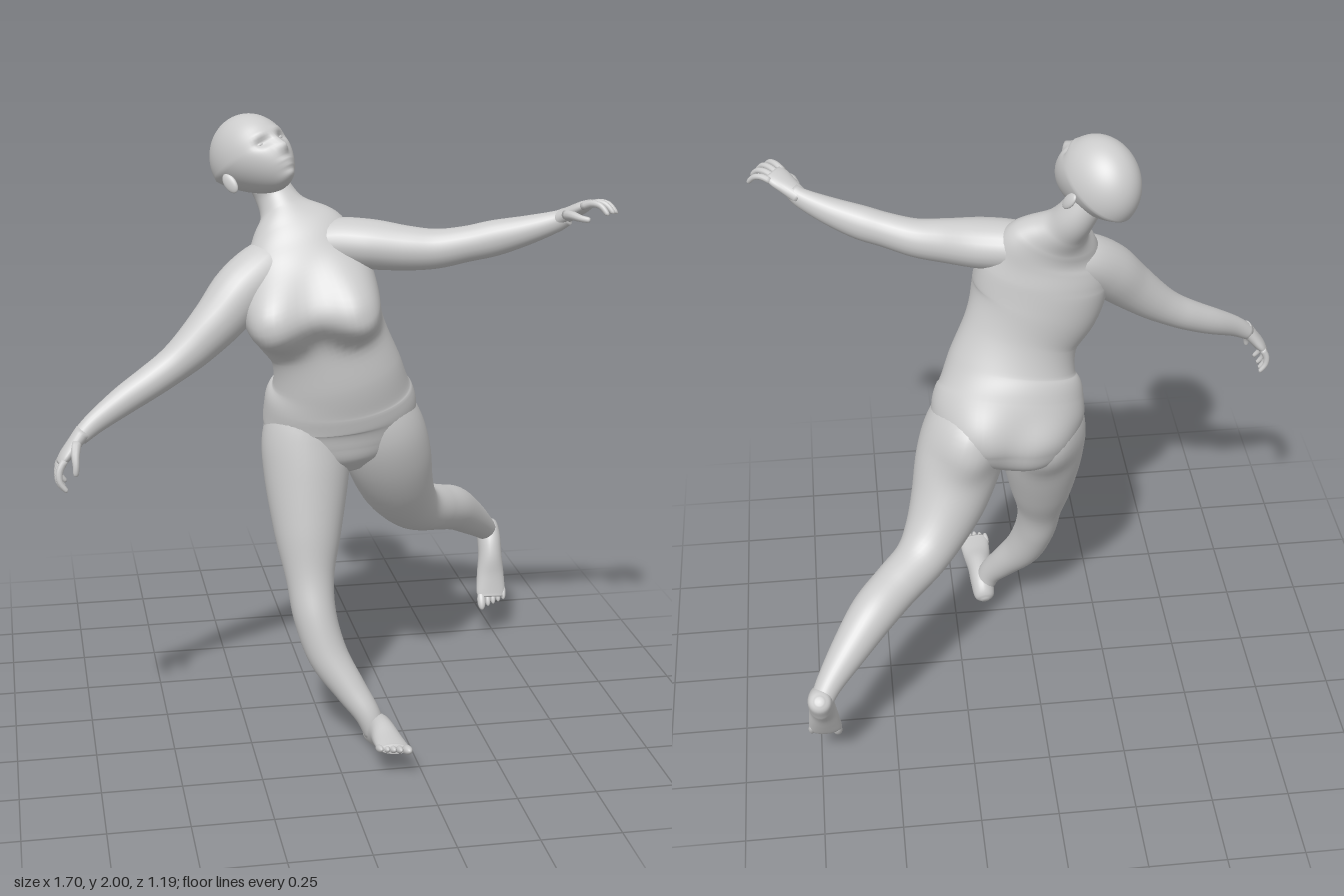
import * as THREE from 'three';
import { mergeVertices } from 'three/addons/utils/BufferGeometryUtils.js';

const skin = new THREE.MeshStandardMaterial({ color: 0xcccccc });
const V = (p) => new THREE.Vector3(...p);

function add(parent, name, geometry) {
  const mesh = new THREE.Mesh(geometry, skin);
  mesh.name = name;
  parent.add(mesh);
  return mesh;
}

// Smooth skin through elliptical sections [x, y, z, sideRadius, depthRadius]
function loft(sections, side = [1, 0, 0], around = 24, steps = 5) {
  const path = new THREE.CatmullRomCurve3(sections.map((s) => V(s.slice(0, 3))), false, 'catmullrom');
  const radii = new THREE.CatmullRomCurve3(sections.map((s) => V([s[3], s[4], 0])), false, 'catmullrom');
  const rings = (sections.length - 1) * steps;
  const pos = [], index = [];
  for (let i = 0; i <= rings; i++) {
    const t = i / rings, c = path.getPoint(t), r = radii.getPoint(t), T = path.getTangent(t);
    const S = V(side).addScaledVector(T, -T.dot(V(side))).normalize();
    const F = T.clone().cross(S);
    for (let j = 0; j < around; j++) {
      const a = (j / around) * Math.PI * 2;
      const p = c.clone().addScaledVector(S, r.x * Math.cos(a)).addScaledVector(F, r.y * Math.sin(a));
      pos.push(p.x, p.y, p.z);
    }
  }
  const at = (i, j) => i * around + (j % around);
  const first = pos.length / 3, last = first + 1;
  pos.push(...path.getPoint(0).toArray(), ...path.getPoint(1).toArray());
  for (let j = 0; j < around; j++) {
    for (let i = 0; i < rings; i++) {
      index.push(at(i, j), at(i, j + 1), at(i + 1, j + 1), at(i, j), at(i + 1, j + 1), at(i + 1, j));
    }
    index.push(first, at(0, j + 1), at(0, j), last, at(rings, j), at(rings, j + 1));
  }
  const g = new THREE.BufferGeometry();
  g.setAttribute('position', new THREE.Float32BufferAttribute(pos, 3));
  g.setIndex(index);
  g.computeVertexNormals();
  return g;
}

// Soft swellings of the body: [centre, push, radius]
const bulges = [
  [[-0.148, 1.43, 0.21], [-0.042, -0.038, 0.098], 0.108], // right breast
  [[0.07, 1.46, 0.21], [0.025, -0.038, 0.105], 0.108], // left breast
  [[-0.03, 0.97, -0.09], [0, 0, -0.035], 0.11], // right buttock
  [[0.2, 1.02, -0.12], [0, 0, -0.038], 0.11], // left buttock
  [[0, 1.66, 0.06], [0.02, 0.02, 0], 0.08], // left shoulder slope
];
function sculpt(g) {
  const p = g.attributes.position;
  for (let i = 0; i < p.count; i++) {
    const start = new THREE.Vector3().fromBufferAttribute(p, i), end = start.clone();
    for (const [c, push, r] of bulges) {
      end.addScaledVector(V(push), Math.exp(-((start.distanceTo(V(c)) / r) ** 3)));
    }
    p.setXYZ(i, end.x, end.y, end.z);
  }
  g.computeVertexNormals();
  return g;
}

function ellipsoid(parent, name, center, size) {
  const mesh = add(parent, name, new THREE.SphereGeometry(1, 28, 20));
  mesh.position.set(...center);
  mesh.scale.set(...size);
  return mesh;
}

// Turns a group so its local z and (nearly) y follow the given directions
function place(group, position, yDir, zDir, scale) {
  const z = V(zDir).normalize(), x = V(yDir).cross(z).normalize(), y = z.clone().cross(x);
  group.quaternion.setFromRotationMatrix(new THREE.Matrix4().makeBasis(x, y, z));
  group.position.set(...position);
  group.scale.setScalar(scale);
  return group;
}

// Head: a sphere narrowed to a jaw, with soft bumps and hollows for the face
function makeHead() {
  const head = new THREE.Group();
  head.name = 'head';
  let g = new THREE.SphereGeometry(1, 72, 56);
  g.deleteAttribute('uv');
  g.deleteAttribute('normal');
  g = mergeVertices(g);
  const p = g.attributes.position;
  for (let i = 0; i < p.count; i++) {
    const t = Math.max(0, -p.getY(i));
    const x = p.getX(i) * 0.1 * (1 - 0.32 * t), y = p.getY(i) * 0.125;
    let z = p.getZ(i) * 0.132 * (1 - 0.2 * t) + 0.062 * t;
    const bump = (cx, cy, sx, sy, h) =>
      h * Math.exp(-(((Math.abs(x) - cx) / sx) ** 2) - ((y - cy) / sy) ** 2);
    if (p.getZ(i) > 0) {
      z += bump(0.036, 0, 0.018, 0.012, -0.014); // eye sockets
      z += bump(0.032, 0.024, 0.025, 0.01, 0.004); // brows
      z += bump(0, -0.036, 0.013, 0.016, 0.018) + bump(0, -0.012, 0.009, 0.022, 0.009); // nose
      z += bump(0, -0.07, 0.022, 0.006, 0.006) + bump(0, -0.084, 0.02, 0.006, 0.006); // lips
      z += bump(0, -0.11, 0.025, 0.014, 0.012); // chin
    }
    p.setXYZ(i, x, y, z);
  }
  g.computeVertexNormals();
  add(head, 'skull', g);
  for (const s of [-1, 1]) {
    ellipsoid(head, 'eye', [s * 0.036, 0, 0.099], [0.015, 0.009, 0.014]);
    const ear = ellipsoid(head, 'ear', [s * 0.096, -0.04, -0.015], [0.009, 0.031, 0.019]);
    ear.rotation.set(-0.15, s * -0.35, 0);
  }
  return head;
}

// Hand: fingers along +y, thumb on +x; curl picks the palm side
function makeHand(name, curl) {
  const hand = new THREE.Group();
  hand.name = name;
  add(hand, 'palm', loft([[0, -0.025, 0, 0.026, 0.024], [0, 0.025, 0, 0.034, 0.021],
    [0, 0.065, 0, 0.041, 0.018], [0, 0.092, 0, 0.036, 0.012]]));
  for (let k = 0; k < 4; k++) {
    const x = 0.031 - k * 0.0205, l = [0.92, 1, 0.95, 0.78][k];
    add(hand, 'finger', loft([[x, 0.075, 0, 0.011, 0.011],
      [x * 1.2, 0.08 + 0.03 * l, -0.006 * curl, 0.0105, 0.0105],
      [x * 1.4, 0.08 + 0.056 * l, -0.024 * curl, 0.009, 0.009],
      [x * 1.5, 0.08 + 0.066 * l, -0.052 * curl, 0.007, 0.007],
      [x * 1.5, 0.08 + 0.066 * l, -0.057 * curl, 0.002, 0.002]], [1, 0, 0], 10, 3));
  }
  add(hand, 'thumb', loft([[0.018, 0.015, 0, 0.016, 0.016], [0.042, 0.042, -0.014 * curl, 0.014, 0.013],
    [0.055, 0.066, -0.032 * curl, 0.011, 0.01], [0.056, 0.086, -0.046 * curl, 0.008, 0.008],
    [0.056, 0.09, -0.049 * curl, 0.002, 0.002]], [1, 0, 0], 10, 3));
  return hand;
}

// Foot: sole on y = 0, toes along +z; inner is the big-toe side
function makeFoot(name, inner) {
  const foot = new THREE.Group();
  foot.name = name;
  add(foot, 'footBody', loft([[0, 0.03, -0.045, 0.012, 0.012], [0, 0.034, -0.028, 0.033, 0.034],
    [0, 0.048, 0.02, 0.038, 0.05], [0, 0.047, 0.08, 0.039, 0.045], [0, 0.032, 0.145, 0.046, 0.03],
    [0, 0.021, 0.2, 0.049, 0.019], [0, 0.019, 0.222, 0.043, 0.014]]));
  for (let k = 0; k < 5; k++) {
    const big = k === 0;
    ellipsoid(foot, 'toe', [inner * (0.034 - k * 0.018 - (big ? 0 : 0.004)), 0.019, 0.232 - k * 0.007],
      [big ? 0.014 : 0.0098, big ? 0.014 : 0.011, big ? 0.033 : 0.028]);
  }
  return foot;
}

export function createModel() {
  const figure = new THREE.Group();
  figure.name = 'figure';

  // Torso and neck, leaning along a gentle curve
  add(figure, 'torso', sculpt(loft([[0.09, 0.87, 0.04, 0.07, 0.08], [0.085, 0.92, 0.038, 0.18, 0.135],
    [0.08, 0.98, 0.037, 0.232, 0.154], [0.075, 1.05, 0.04, 0.248, 0.168], [0.065, 1.12, 0.06, 0.237, 0.166],
    [0.055, 1.2, 0.088, 0.207, 0.152], [0.022, 1.31, 0.108, 0.188, 0.136], [-0.028, 1.42, 0.115, 0.207, 0.135],
    [-0.05, 1.52, 0.112, 0.207, 0.125], [-0.07, 1.6, 0.098, 0.18, 0.102], [-0.09, 1.66, 0.072, 0.125, 0.082],
    [-0.108, 1.71, 0.042, 0.075, 0.07], [-0.135, 1.765, 0.015, 0.06, 0.064],
    [-0.18, 1.84, 0.01, 0.055, 0.06]], [1, 0, 0], 64, 7)));

  figure.add(place(makeHead(), [-0.203, 1.868, 0.025], [-0.2, 1, 0], [0.46, 0.63, 0.81], 1.1));

  // Arms, shoulder to wrist
  add(figure, 'leftArm', loft([[-0.08, 1.6, 0.1, 0.05, 0.06], [0.03, 1.617, 0.108, 0.074, 0.084],
    [0.14, 1.615, 0.14, 0.077, 0.088], [0.25, 1.607, 0.18, 0.069, 0.07], [0.34, 1.607, 0.207, 0.061, 0.059],
    [0.43, 1.625, 0.235, 0.055, 0.052], [0.51, 1.645, 0.258, 0.055, 0.05], [0.6, 1.672, 0.29, 0.045, 0.041],
    [0.68, 1.702, 0.322, 0.033, 0.029], [0.712, 1.722, 0.34, 0.027, 0.025]], [0, 1, 0]));
  add(figure, 'rightArm', loft([[-0.08, 1.6, 0.095, 0.05, 0.06], [-0.16, 1.555, 0.115, 0.083, 0.088],
    [-0.25, 1.488, 0.152, 0.09, 0.09], [-0.33, 1.405, 0.185, 0.079, 0.078], [-0.41, 1.33, 0.207, 0.066, 0.064],
    [-0.475, 1.28, 0.222, 0.056, 0.055], [-0.545, 1.237, 0.24, 0.051, 0.05], [-0.63, 1.19, 0.268, 0.045, 0.042],
    [-0.715, 1.14, 0.305, 0.035, 0.031], [-0.768, 1.1, 0.325, 0.026, 0.027]], [0, 1, 0]));
  figure.add(place(makeHand('leftHand', 1), [0.703, 1.72, 0.336], [0.7, 0.45, 0.52], [-0.33, 0.83, -0.36], 1.03));
  figure.add(place(makeHand('rightHand', -1), [-0.77, 1.1, 0.328], [-0.62, -0.78, 0.1], [0.78, -0.62, 0], 1.03));

  // Legs, hip to ankle: the right one steps forward, the left one lifts behind
  add(figure, 'rightLeg', sculpt(loft([[-0.005, 1.12, 0.06, 0.1, 0.12], [-0.035, 1, 0.05, 0.138, 0.138],
    [-0.04, 0.87, 0.075, 0.138, 0.135], [-0.045, 0.68, 0.13, 0.108, 0.108], [-0.045, 0.54, 0.175, 0.078, 0.08],
    [-0.035, 0.42, 0.212, 0.069, 0.078], [0, 0.3, 0.252, 0.064, 0.068], [0.062, 0.2, 0.298, 0.052, 0.054],
    [0.112, 0.125, 0.333, 0.042, 0.046], [0.138, 0.06, 0.342, 0.036, 0.042]], [1, 0, 0], 36, 6)));
  add(figure, 'leftLeg', sculpt(loft([[0.16, 1.13, 0.06, 0.1, 0.12], [0.205, 1.01, 0.035, 0.135, 0.146],
    [0.238, 0.9, 0.005, 0.142, 0.142], [0.28, 0.78, -0.05, 0.125, 0.125], [0.335, 0.685, -0.115, 0.1, 0.1],
    [0.39, 0.63, -0.177, 0.084, 0.084], [0.47, 0.594, -0.253, 0.078, 0.079], [0.55, 0.556, -0.335, 0.075, 0.077],
    [0.63, 0.488, -0.418, 0.061, 0.063], [0.7, 0.42, -0.493, 0.044, 0.046],
    [0.735, 0.375, -0.54, 0.035, 0.036]], [1, 0, 0], 36, 6)));
  figure.add(place(makeFoot('rightFoot', 1), [0.14, 0.012, 0.338], [0.1, 1, 0], [0.07, 0.31, 0.95], 1.06));
  figure.add(place(makeFoot('leftFoot', -1), [0.735, 0.358, -0.578], [0, 0.5, 0.87], [-0.03, -0.87, 0.5], 1.08));

  return figure;
}
